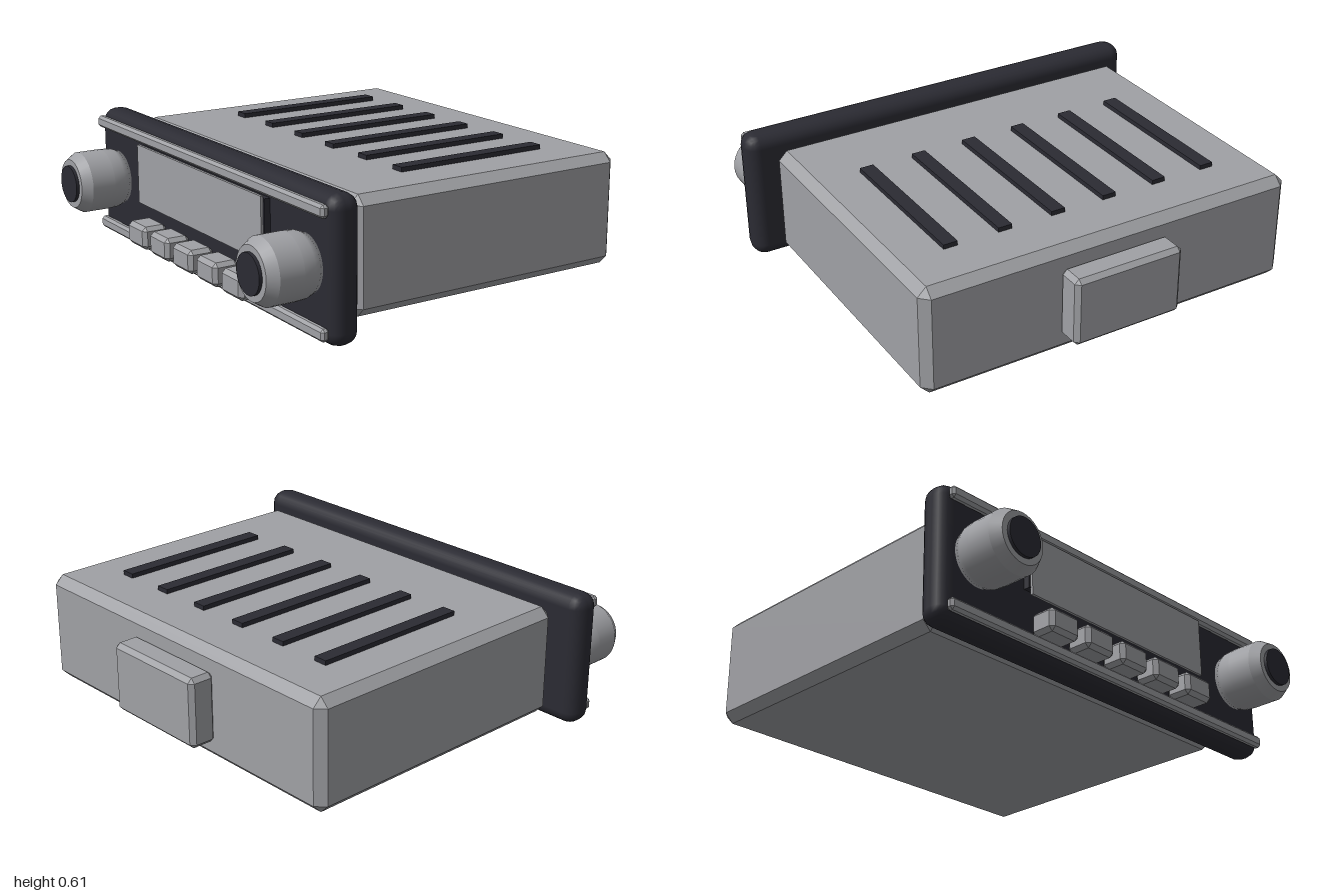
import * as THREE from 'three';
import { ConvexGeometry } from 'three/addons/geometries/ConvexGeometry.js';
import { RoundedBoxGeometry } from 'three/addons/geometries/RoundedBoxGeometry.js';

// Box with every edge cut at 45 degrees, flat faces
function chamferBox(w, h, d, c) {
  const points = [];
  for (const x of [-1, 1]) for (const y of [-1, 1]) for (const z of [-1, 1]) {
    for (let axis = 0; axis < 3; axis++) {
      const cut = [0, 1, 2].map((i) => (i === axis ? 0 : c));
      points.push(new THREE.Vector3(x * (w / 2 - cut[0]), y * (h / 2 - cut[1]), z * (d / 2 - cut[2])));
    }
  }
  return new ConvexGeometry(points);
}

export function createModel() {
  const model = new THREE.Group();
  model.name = 'carRadio';

  const grey = new THREE.MeshStandardMaterial({ color: 0xa0a1a5 });
  grey.name = 'metalGrey';
  const dark = new THREE.MeshStandardMaterial({ color: 0x2b2b33 });
  dark.name = 'darkPlastic';

  function add(name, geometry, material, x, y, z) {
    const mesh = new THREE.Mesh(geometry, material);
    mesh.name = name;
    mesh.position.set(x, y, z);
    model.add(mesh);
    return mesh;
  }

  // Place a part by its min and max corners along each axis
  function addChamfered(name, [x0, x1], [y0, y1], [z0, z1], c, material = grey) {
    add(name, chamferBox(x1 - x0, y1 - y0, z1 - z0, c), material, (x0 + x1) / 2, (y0 + y1) / 2, (z0 + z1) / 2);
  }

  // Case and the connector behind it
  addChamfered('case', [-0.525, 0.84], [0.06, 0.56], [-0.895, 0.89], 0.04);
  addChamfered('rearConnector', [0.83, 0.955], [0.15, 0.465], [-0.26, 0.26], 0.02);

  // Vents on the top
  for (let i = 0; i < 6; i++) {
    add('vent', new THREE.BoxGeometry(0.74, 0.03, 0.064), dark, 0.23, 0.565, -0.635 + i * 0.253);
  }

  // Faceplate with trim rails
  add('faceplate', new RoundedBoxGeometry(0.14, 0.61, 2, 2, 0.06), dark, -0.63, 0.305, 0);
  for (const y of [0.55, 0.06]) {
    addChamfered('trimRail', [-0.73, -0.692], [y - 0.027, y + 0.027], [-0.97, 0.97], 0.012);
  }

  // Display on its dark backing
  add('displayBacking', new THREE.BoxGeometry(0.03, 0.23, 1.1), dark, -0.712, 0.395, 0);
  add('displayPanel', new THREE.BoxGeometry(0.012, 0.27, 1.08), grey, -0.732, 0.385, 0);

  // Preset buttons
  for (let i = 0; i < 5; i++) {
    const z = -0.005 + (i - 2) * 0.212;
    addChamfered('presetButton', [-0.815, -0.695], [0.08, 0.185], [z - 0.083, z + 0.083], 0.018);
  }

  // Rotary knobs, turned about the x axis
  const profile = [[0, 0], [0.122, 0], [0.137, 0.04], [0.14, 0.09], [0.14, 0.2], [0.112, 0.245], [0, 0.245]];
  const knobParts = [[0, 3], [3, 5], [4, 6], [5, 7]];
  for (const side of [-1, 1]) {
    const knob = new THREE.Group();
    knob.name = side > 0 ? 'leftKnob' : 'rightKnob';
    knob.position.set(-0.7, 0.31, side * 0.81);
    knob.rotation.z = Math.PI / 2;
    for (const [from, to] of knobParts) {
      const points = profile.slice(from, to === 3 ? 4 : to).map(([r, h]) => new THREE.Vector2(r, h));
      const ring = new THREE.Mesh(new THREE.LatheGeometry(points, 32), grey);
      ring.name = 'knobBody';
      knob.add(ring);
    }
    const cap = new THREE.Mesh(new THREE.CylinderGeometry(0.085, 0.085, 0.03, 32), dark);
    cap.name = 'knobCap';
    cap.position.y = 0.244;
    knob.add(cap);
    model.add(knob);
  }

  return model;
}
